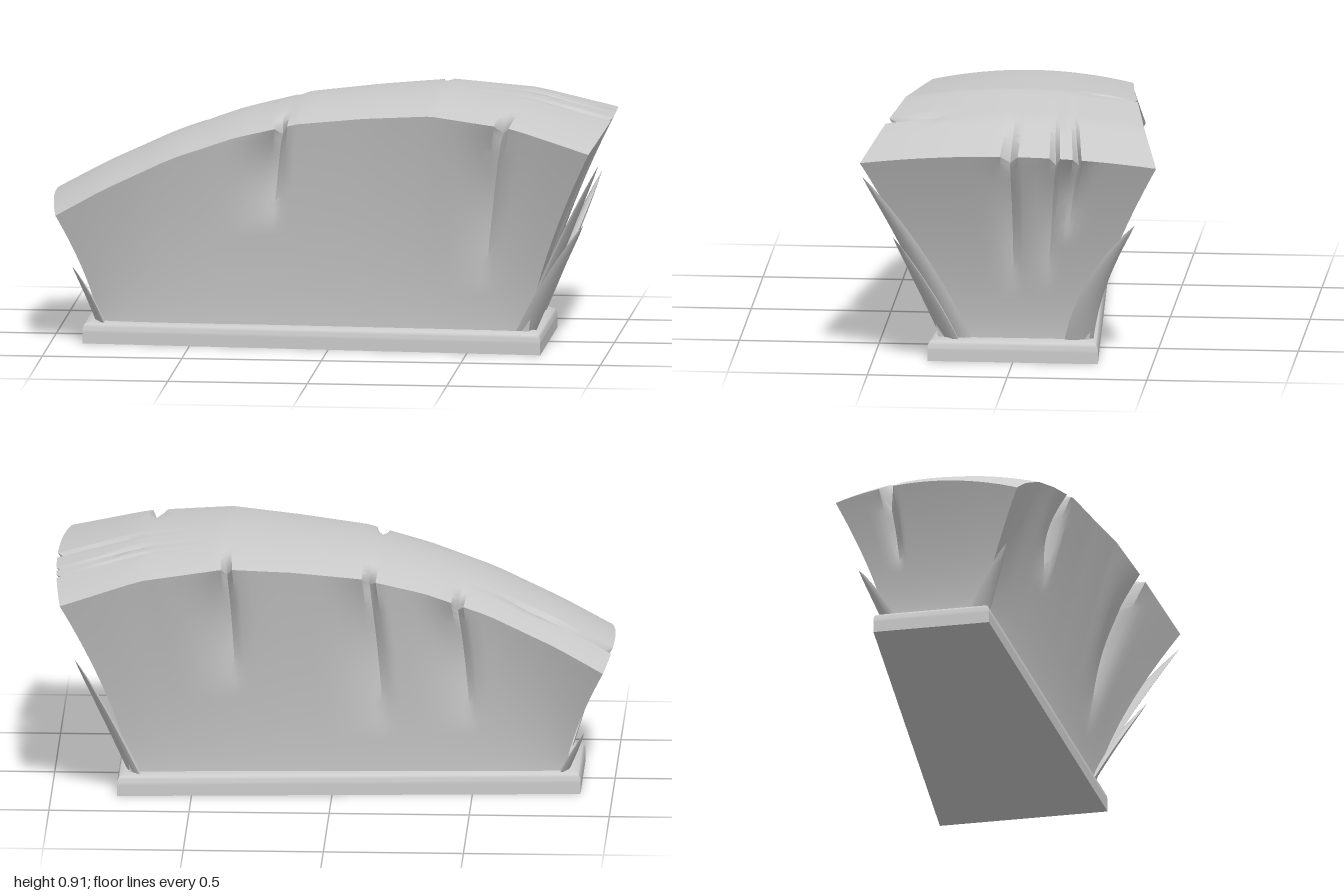
import * as THREE from 'three';
import { toCreasedNormals } from 'three/addons/utils/BufferGeometryUtils.js';

const material = new THREE.MeshStandardMaterial({ color: 0xcccccc, side: THREE.DoubleSide });

// Rim stations along the length: x, height, half depth
const RIM = [
  [-0.97, 0.48, 0.33], [-0.8, 0.575, 0.325], [-0.56, 0.69, 0.325], [-0.33, 0.772, 0.335],
  [-0.1, 0.83, 0.36], [0.14, 0.857, 0.382], [0.38, 0.875, 0.415], [0.68, 0.842, 0.465], [0.96, 0.765, 0.53],
];
const toU = (x) => (x + 0.005) / 0.965;

// Splits in the rim. at: place on the edge, depth: cut, low: where its crease fades out (0 base, 1 rim)
const longNotches = [
  { at: toU(-0.16), side: 1, depth: 0.07, low: 0.5, w: 0.024 },
  { at: toU(0.64), side: 1, depth: 0.09, low: 0.2, w: 0.028 },
  { at: toU(-0.45), side: -1, depth: 0.06, low: 0.25, w: 0.023 },
  { at: toU(-0.135), side: -1, depth: 0.085, low: 0.2, w: 0.026 },
  { at: toU(0.37), side: -1, depth: 0.06, low: 0.4, w: 0.02 },
];
const endNotches = [
  { at: -0.01, side: 1, depth: 0.06, low: 0.25, w: 0.06 },
  { at: -0.32, side: 1, depth: 0.05, low: 0.3, w: 0.035 },
  { at: -0.47, side: 1, depth: 0.08, low: 0.55, w: 0.03 },
  { at: -0.43, side: -1, depth: 0.12, low: 0.4, w: 0.08 },
];

function rimAt(x) {
  let i = 0;
  while (i < RIM.length - 2 && x > RIM[i + 1][0]) i++;
  const a = RIM[i], b = RIM[i + 1], f = (x - a[0]) / (b[0] - a[0]);
  return [a[1] + (b[1] - a[1]) * f, a[2] + (b[2] - a[2]) * f];
}

const hat = (a, n) => Math.max(0, 1 - Math.abs(a - n.at) / n.w);

// Crowned top without splits
function crown(u, v) {
  const x = -0.005 + 0.965 * u;
  const [y, z] = rimAt(x);
  const c = 1 - v * v;
  return new THREE.Vector3(x + 0.03 * u * c, y + 0.04 * c, z * v);
}

// Foot of the body, narrower at the low end
function foot(u, v) {
  const half = 0.225 + 0.045 * u;
  return new THREE.Vector3(-0.055 + 0.775 * u + 0.25 * (u - u ** 3), 0.07, half * (v + 0.4 * (v - v ** 3)));
}

// Offset of the V-shaped splits
function split(u, v) {
  const o = new THREE.Vector3();
  const cut = (n, along, across, axis, power) => {
    const h = hat(along, n) * Math.max(0, n.side * across) ** power;
    o[axis] -= n.side * n.depth * h;
    o.y -= 0.035 * h;
  };
  for (const n of longNotches) cut(n, u, v, 'z', 4);
  for (const n of endNotches) cut(n, v, u, 'x', 6);
  return o;
}

const topPoint = (u, v) => crown(u, v).add(split(u, v));

// Flared wall: t runs from the base to the rim, with a pleat hanging from each split
function wallPoint(u, v, t) {
  const k = t ** 1.4;
  const p = foot(u, v), rim = crown(u, v);
  p.set(
    THREE.MathUtils.lerp(p.x, rim.x, k),
    THREE.MathUtils.lerp(p.y, rim.y, t),
    THREE.MathUtils.lerp(p.z, rim.z, k));
  p.addScaledVector(split(u, v), t ** 12);
  const pleat = (n, d, axis, soft, hard) => {
    const s = Math.max(0, 1 - Math.abs(d) / (d >= 0 ? soft : hard)) ** 1.5;
    const f = Math.max(0, (t - n.low) / (1 - n.low));
    p[axis] -= n.side * 0.038 * s * Math.sin(Math.PI * f ** 1.3);
  };
  if (Math.abs(v) === 1) {
    for (const n of longNotches) if (n.side === v) pleat(n, (n.at - u) * v, 'z', 0.2, 0.05);
  } else {
    for (const n of endNotches) if (n.side === u) pleat(n, (v - n.at) * u, 'x', 0.16, 0.1);
  }
  return p;
}

// Regular stations plus three at each split
function stations(count, notches) {
  const s = notches.flatMap((n) => [n.at - n.w, n.at, n.at + n.w]);
  for (let i = 0; i <= count; i++) {
    const a = -1 + (2 * i) / count;
    if (!notches.some((n) => Math.abs(a - n.at) < n.w * 1.2)) s.push(a);
  }
  return s.sort((a, b) => a - b);
}

function grid(as, bs, point, crease = 0.6) {
  const pos = [], index = [], n = as.length;
  for (const b of bs) for (const a of as) pos.push(...point(a, b).toArray());
  for (let j = 0; j < bs.length - 1; j++) {
    for (let i = 0; i < n - 1; i++) {
      const k = j * n + i;
      index.push(k, k + 1, k + n + 1, k, k + n + 1, k + n);
    }
  }
  const g = new THREE.BufferGeometry();
  g.setAttribute('position', new THREE.Float32BufferAttribute(pos, 3));
  g.setIndex(index);
  return toCreasedNormals(g, crease);
}

// Curved, pointed leaf with a flat oval section
function blade(root, bend, tip, across, width) {
  const curve = new THREE.QuadraticBezierCurve3(
    new THREE.Vector3(...root), new THREE.Vector3(...bend), new THREE.Vector3(...tip));
  const side = new THREE.Vector3(...across).normalize();
  const ring = Array.from({ length: 9 }, (_, i) => i / 8);
  const along = Array.from({ length: 13 }, (_, i) => i / 12);
  return grid(ring, along, (a, t) => {
    const tangent = curve.getTangent(t);
    const s = side.clone().addScaledVector(tangent, -side.dot(tangent)).normalize();
    const out = new THREE.Vector3().crossVectors(tangent, s);
    const w = width * (1 - t) ** 0.8 * (1 + 0.5 * t);
    const ang = a * Math.PI * 2;
    return curve.getPoint(t)
      .addScaledVector(s, w * Math.cos(ang))
      .addScaledVector(out, w * 0.35 * Math.sin(ang));
  }, 1.2);
}

export function createModel() {
  const group = new THREE.Group();
  const add = (name, geometry) => {
    const mesh = new THREE.Mesh(geometry, material);
    mesh.name = name;
    group.add(mesh);
  };

  // Base slab with its upper edge rounded, tapering toward the low end
  const slab = new THREE.BoxGeometry(1.65, 0.08, 0.61, 1, 8, 1).translate(0, 0.04, 0);
  const p = slab.attributes.position, r = 0.03;
  for (let i = 0; i < p.count; i++) {
    const d = Math.max(0, p.getY(i) - 0.05);
    const inset = r - Math.sqrt(Math.max(0, r * r - d * d));
    const x = p.getX(i), z = p.getZ(i);
    const half = x > 0 ? 0.305 : 0.21;
    p.setX(i, x - Math.sign(x) * inset);
    p.setZ(i, Math.sign(z) * (half - inset));
  }
  add('base', toCreasedNormals(slab.translate(-0.06, 0, 0), 0.9));

  // Flared body
  const us = stations(40, longNotches), vs = stations(20, endNotches);
  const usBack = [...us].reverse(), vsBack = [...vs].reverse();
  const ts = Array.from({ length: 25 }, (_, i) => i / 24);
  add('top', grid(us, vsBack, topPoint));
  add('frontWall', grid(us, ts, (u, t) => wallPoint(u, 1, t)));
  add('backWall', grid(usBack, ts, (u, t) => wallPoint(u, -1, t)));
  add('leftWall', grid(vsBack, ts, (v, t) => wallPoint(1, v, t)));
  add('rightWall', grid(vs, ts, (v, t) => wallPoint(-1, v, t)));

  // Pointed leaves at the corners
  add('tallLeaf', blade([0.7, 0.06, 0.2], [0.83, 0.39, 0.31], [0.995, 0.725, 0.52], [-0.3, 0, 1], 0.055));
  add('frontLeaf', blade([0.7, 0.06, 0.225], [0.8, 0.28, 0.31], [0.93, 0.49, 0.415], [-0.7, 0, 0.7], 0.05));
  add('backLeaf', blade([0.7, 0.06, -0.23], [0.81, 0.31, -0.27], [0.91, 0.545, -0.45], [0.4, 0, 1], 0.055));
  add('lowFrontLeaf', blade([-0.82, 0.06, 0.16], [-0.86, 0.18, 0.21], [-0.915, 0.29, 0.28], [0.5, 0, 1], 0.035));
  add('lowBackLeaf', blade([-0.82, 0.06, -0.16], [-0.86, 0.15, -0.2], [-0.9, 0.24, -0.26], [-0.5, 0, 1], 0.03));
  return group;
}
